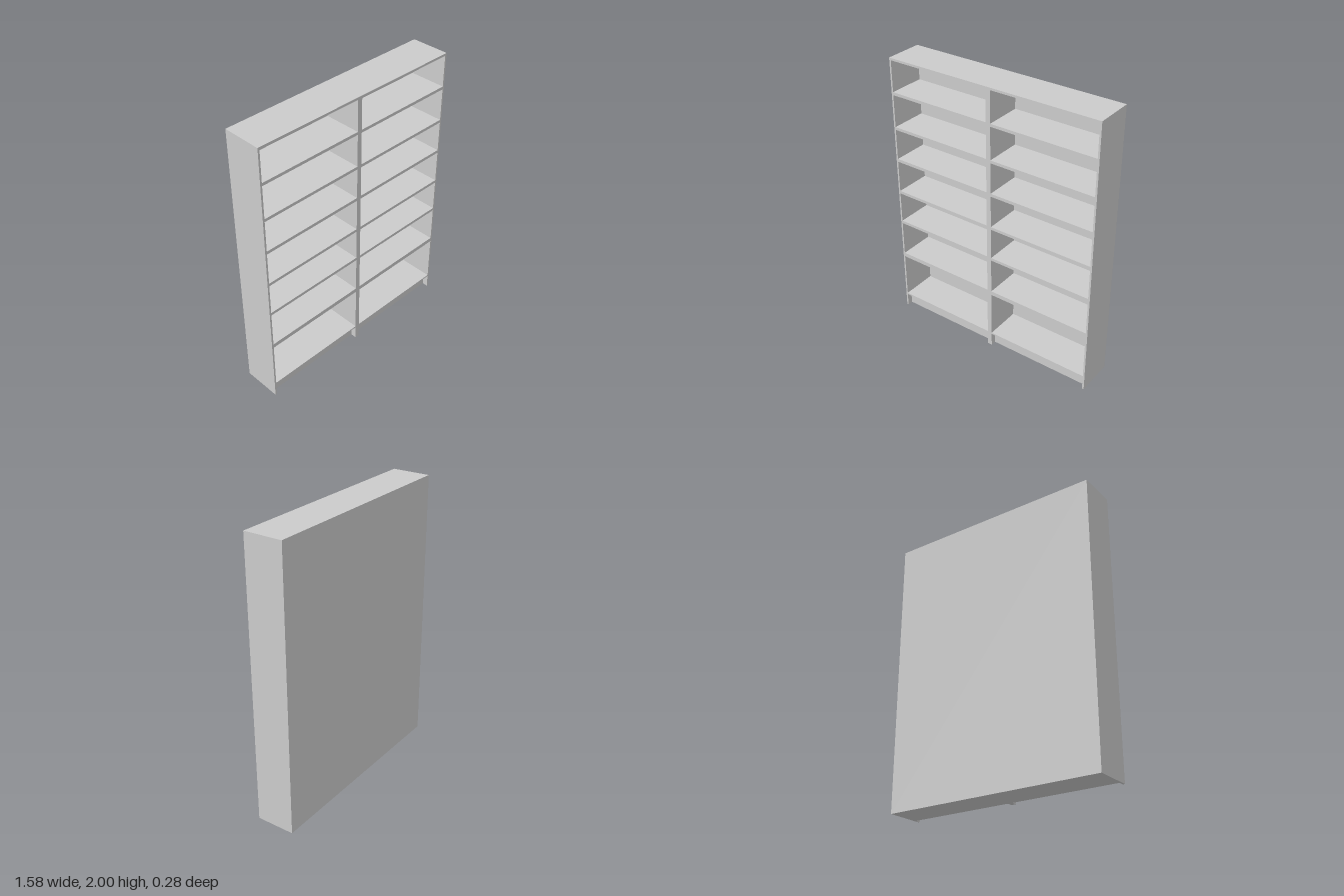
import * as THREE from 'three';

const W = 1.58, H = 2, D = 0.276;    // overall size
const WALL = 0.013, DIVIDER = 0.034; // upright thicknesses
const BACK = 0.011;                  // back panel thickness
const KICK_INSET = 0.04;             // toe kick set back from the front

// bottom and top height of each board, from the floor up
const BOARDS = [
  [0.1, 0.111], [0.45, 0.481], [0.741, 0.762], [0.989, 1.01],
  [1.243, 1.265], [1.487, 1.508], [1.741, 1.762], [1.984, 2],
];

export function createModel() {
  const model = new THREE.Group();
  model.name = 'bookcase';
  const material = new THREE.MeshStandardMaterial({ color: 0xcccccc });

  // box given by its extents on each axis
  const board = (name, [x0, x1], [y0, y1], [z0, z1]) => {
    const mesh = new THREE.Mesh(new THREE.BoxGeometry(x1 - x0, y1 - y0, z1 - z0), material);
    mesh.position.set((x0 + x1) / 2, (y0 + y1) / 2, (z0 + z1) / 2);
    mesh.name = name;
    model.add(mesh);
  };

  const front = D / 2, inner = -D / 2 + BACK;

  // back panel and centre divider
  board('backPanel', [-W / 2, W / 2], [0, H], [-D / 2, inner]);
  board('centreDivider', [-DIVIDER / 2, DIVIDER / 2], [0, H], [inner, front]);

  // left and right bays
  for (const [side, s] of [['left', 1], ['right', -1]]) {
    const span = (a, b) => [Math.min(s * a, s * b), Math.max(s * a, s * b)];
    const bay = span(DIVIDER / 2, W / 2 - WALL);

    board(`${side}SidePanel`, span(W / 2 - WALL, W / 2), [0, H], [inner, front]);
    board(`${side}PlinthBase`, bay, [0, BOARDS[0][0]], [inner, front - KICK_INSET]);
    BOARDS.forEach((heights, i) => {
      const name = i === BOARDS.length - 1 ? 'TopPanel' : `Shelf${i + 1}`;
      board(side + name, bay, heights, [inner, front]);
    });
  }
  return model;
}
